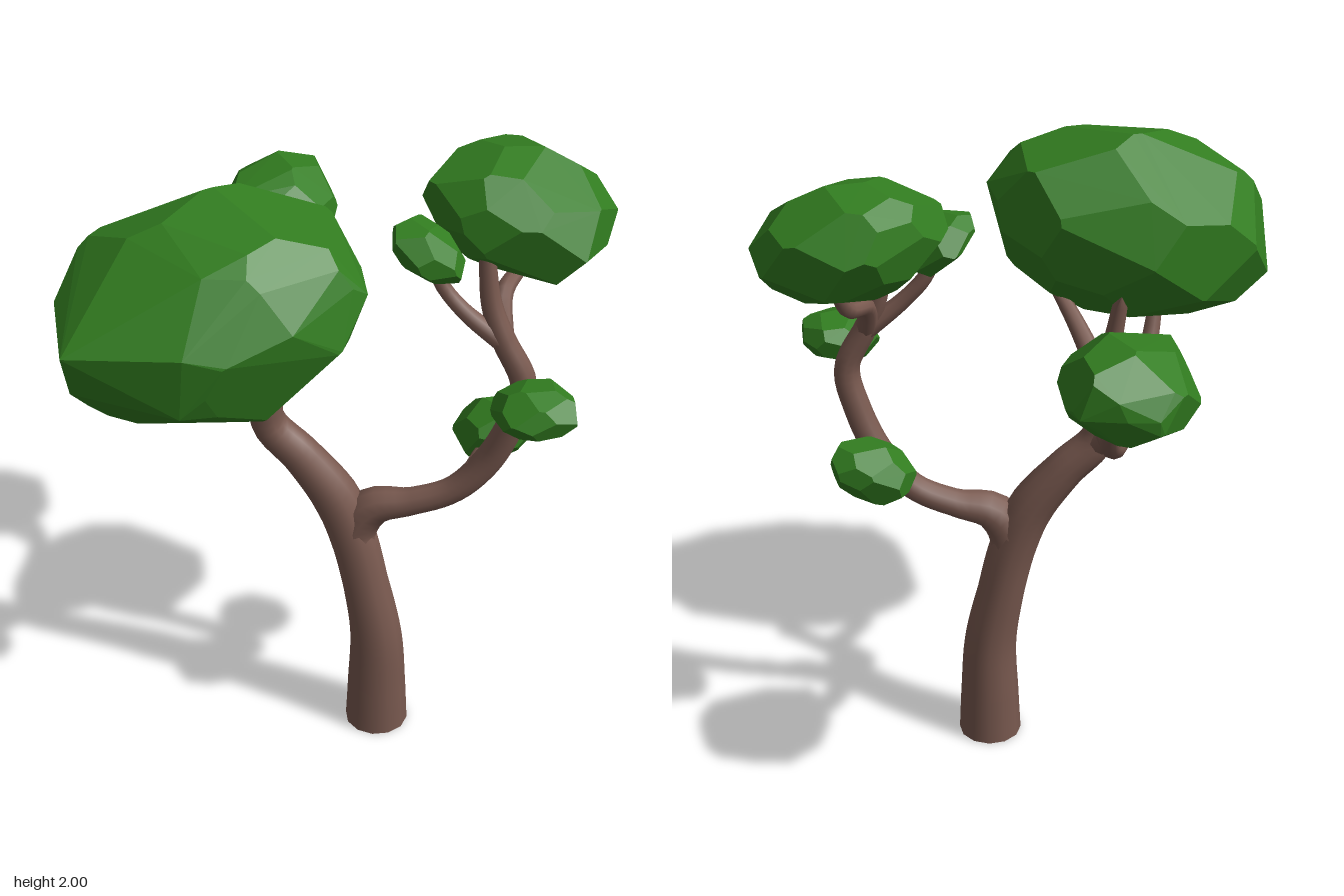
import * as THREE from 'three';
import { ConvexGeometry } from 'three/addons/geometries/ConvexGeometry.js';

// The trunk is an open tube at the foot, so the bark is double sided
const bark = new THREE.MeshStandardMaterial({ color: 0x7a5a50, side: THREE.DoubleSide });
bark.name = 'bark brown';
const leaf = new THREE.MeshStandardMaterial({ color: 0x327d20 });
leaf.name = 'leaf green';

function seeded(seed) {
  let s = seed * 7919 + 13;
  return () => (s = (s * 16807) % 2147483647) / 2147483647;
}

// Tapered round limb through points [x, y, z, radius], closed to a blunt tip
function limb(name, pts, sides = 10) {
  const curve = new THREE.CatmullRomCurve3(pts.map(p => new THREE.Vector3(p[0], p[1], p[2])));
  const n = (pts.length - 1) * 5;
  const geo = new THREE.TubeGeometry(curve, n, 1, sides);
  const pos = geo.attributes.position;
  const v = new THREE.Vector3();
  for (let i = 0; i <= n; i++) {
    const centre = curve.getPointAt(i / n);
    const t = curve.getUtoTmapping(i / n) * (pts.length - 1);
    const k = Math.min(Math.floor(t), pts.length - 2);
    const r = i === n ? 0.002 : THREE.MathUtils.lerp(pts[k][3], pts[k + 1][3], t - k);
    for (let j = 0; j <= sides; j++) {
      const id = i * (sides + 1) + j;
      v.fromBufferAttribute(pos, id).sub(centre).multiplyScalar(r).add(centre);
      pos.setXYZ(id, v.x, Math.max(v.y, 0), v.z);
    }
  }
  const mesh = new THREE.Mesh(geo, bark);
  mesh.name = name;
  return mesh;
}

// Faceted clump: polygons tangent to a sphere, tilted, then fitted to a box.
// corners are extra hull points that give the outline its character.
function clump(name, min, max, faces, slopeX, slopeZ, seed, corners = []) {
  const rnd = seeded(seed);
  const seeds = [];
  for (let i = 0; i < faces; i++) {
    const y = 1 - (2 * i + 1) / faces;
    const a = i * 2.39996 + seed + (rnd() - 0.5) * 0.5;
    const r = Math.sqrt(1 - y * y);
    seeds.push(new THREE.Vector3(Math.cos(a) * r, y, Math.sin(a) * r).multiplyScalar(0.96 + rnd() * 0.08));
  }
  // Each triangle of the first hull becomes one corner of the polygonal clump
  const hull = new ConvexGeometry(seeds).attributes.position;
  const tri = new THREE.Triangle();
  const points = [];
  for (let i = 0; i < hull.count; i += 3) {
    tri.setFromAttributeAndIndices(hull, i, i + 1, i + 2);
    const normal = tri.getNormal(new THREE.Vector3());
    points.push(normal.clone().divideScalar(normal.dot(tri.a)));
  }
  const size = new THREE.Vector3(...max).sub(new THREE.Vector3(...min));
  for (const p of points) p.y += (slopeX * p.x * size.x + slopeZ * p.z * size.z) / size.y;
  const box = new THREE.Box3().setFromPoints(points);
  const span = box.getSize(new THREE.Vector3());
  for (const p of points) p.sub(box.min).divide(span).multiply(size).add(new THREE.Vector3(...min));
  for (const c of corners) points.push(new THREE.Vector3(...c));
  const mesh = new THREE.Mesh(new ConvexGeometry(points), leaf);
  mesh.name = name;
  return mesh;
}

export function createModel() {
  const tree = new THREE.Group();
  tree.name = 'tree';

  const wood = new THREE.Group();
  wood.name = 'trunkAndBranches';
  wood.add(
    limb('trunk', [
      [0.1, 0, 0.05, 0.102], [0.1, 0.15, 0.05, 0.095], [0.096, 0.35, 0.05, 0.084], [0.06, 0.55, 0.045, 0.075],
      [0.02, 0.72, 0.04, 0.075], [-0.035, 0.86, 0.035, 0.075], [-0.14, 1.0, 0.03, 0.062],
      [-0.24, 1.11, 0.03, 0.056], [-0.25, 1.22, 0.04, 0.05], [-0.26, 1.34, 0.04, 0.036],
      [-0.28, 1.45, 0.03, 0.028], [-0.3, 1.58, 0.02, 0.022],
    ], 12),
    limb('rightLimb', [
      [0.04, 0.63, 0.04, 0.06], [0.03, 0.76, 0.04, 0.07], [0.085, 0.84, 0.04, 0.062], [0.2, 0.868, 0.04, 0.045],
      [0.33, 0.925, 0.04, 0.042], [0.43, 1.04, 0.04, 0.045], [0.5, 1.2, 0.05, 0.042], [0.525, 1.33, 0.055, 0.04],
      [0.46, 1.47, 0.05, 0.036], [0.42, 1.58, 0.04, 0.031], [0.4, 1.74, 0.03, 0.024],
    ]),
    limb('backBranch', [
      [-0.22, 1.08, 0.03, 0.045], [-0.29, 1.16, -0.03, 0.045], [-0.3, 1.21, -0.12, 0.037],
      [-0.28, 1.25, -0.3, 0.033], [-0.26, 1.32, -0.41, 0.03], [-0.26, 1.44, -0.52, 0.022],
    ]),
    limb('backTwig', [
      [-0.28, 1.255, -0.32, 0.025], [-0.25, 1.32, -0.37, 0.027], [-0.24, 1.4, -0.37, 0.025], [-0.25, 1.47, -0.39, 0.018],
    ], 8),
    limb('frontBranch', [
      [-0.24, 1.25, 0.04, 0.038], [-0.31, 1.25, 0.13, 0.032], [-0.385, 1.3, 0.22, 0.03], [-0.42, 1.46, 0.3, 0.022],
    ], 8),
    limb('frontTwig', [
      [-0.245, 1.24, 0.04, 0.042], [-0.22, 1.35, 0.07, 0.034], [-0.175, 1.43, 0.14, 0.028], [-0.1, 1.53, 0.25, 0.02],
    ], 8),
    limb('crownBranch', [
      [0.46, 1.46, 0.05, 0.032], [0.45, 1.57, -0.04, 0.028], [0.49, 1.61, -0.15, 0.024], [0.52, 1.7, -0.21, 0.018],
    ], 8),
    limb('innerBranch', [
      [0.46, 1.46, 0.05, 0.033], [0.35, 1.55, 0.055, 0.026], [0.28, 1.63, 0.05, 0.023], [0.23, 1.74, 0.05, 0.016],
    ], 8),
    limb('upperSideTwig', [
      [0.52, 1.27, 0.05, 0.035], [0.53, 1.3, 0.12, 0.025], [0.56, 1.35, 0.23, 0.016],
    ], 8),
    limb('lowerSideTwig', [
      [0.39, 1.0, 0.04, 0.035], [0.41, 1.03, -0.03, 0.025], [0.44, 1.07, -0.11, 0.016],
    ], 8),
  );

  const foliage = new THREE.Group();
  foliage.name = 'foliage';
  foliage.add(
    clump('largeClump', [-0.76, 1.38, 0.0], [0.075, 2.0, 0.72], 34, 0.14, -0.08, 1, [
      [-0.66, 1.7, 0.72], [-0.33, 1.73, 0.74], [-0.06, 1.76, 0.62], [0.11, 1.79, 0.42],
      [-0.66, 1.56, 0.66], [-0.35, 1.54, 0.72], [-0.5, 1.43, 0.58], [-0.3, 1.9, 0.6],
    ]),
    clump('crownClump', [0.2, 1.64, -0.38], [0.76, 1.99, 0.11], 32, -0.13, -0.08, 2),
    clump('backClump', [-0.5, 1.4, -0.75], [-0.11, 1.71, -0.33], 28, 0.05, -0.1, 3, [
      [-0.45, 1.58, -0.335], [-0.44, 1.51, -0.36], [-0.42, 1.65, -0.39],
      [-0.38, 1.56, -0.745], [-0.17, 1.55, -0.72],
    ]),
    clump('innerClump', [0.13, 1.65, -0.07], [0.34, 1.83, 0.16], 24, -0.5, 0, 4),
    clump('upperSideClump', [0.44, 1.28, 0.12], [0.69, 1.43, 0.36], 24, 0.04, 0, 5),
    clump('lowerSideClump', [0.31, 0.97, -0.23], [0.57, 1.16, 0.0], 24, 0.2, 0, 6),
  );

  tree.add(wood, foliage);
  return tree;
}
